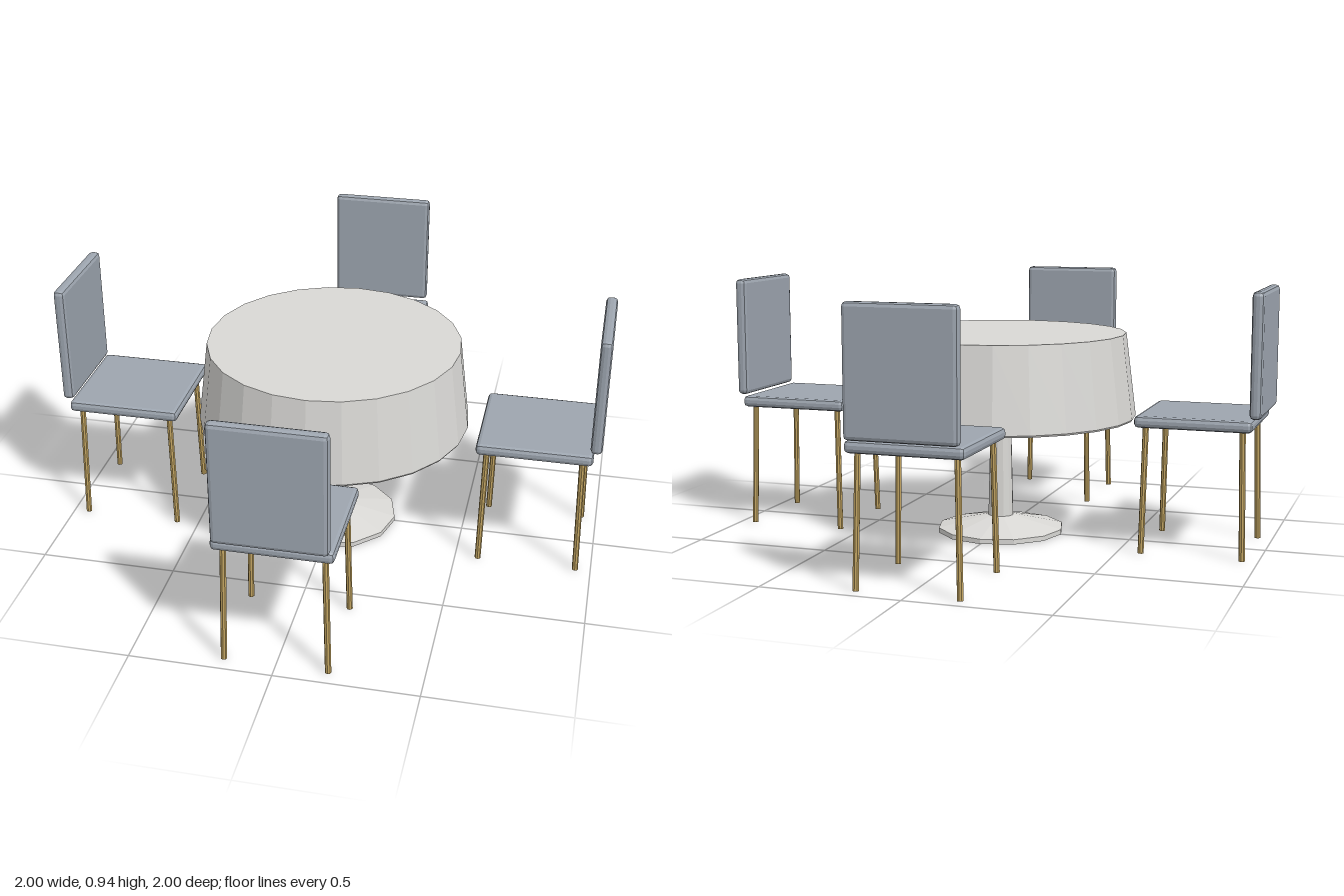
import * as THREE from 'three';
import { RoundedBoxGeometry } from 'three/addons/geometries/RoundedBoxGeometry.js';

const mat = (name, color) => {
  const m = new THREE.MeshStandardMaterial({ color, flatShading: true });
  m.name = name;
  return m;
};

function add(parent, name, geometry, material, x = 0, y = 0, z = 0) {
  const mesh = new THREE.Mesh(geometry, material);
  mesh.name = name;
  mesh.position.set(x, y, z);
  parent.add(mesh);
  return mesh;
}

// Closed turned shape from [radius, height] pairs
const turned = (profile, sides) =>
  new THREE.LatheGeometry(profile.map(([r, y]) => new THREE.Vector2(r, y)), sides);

// Thin splayed leg between two points
function leg(top, bottom) {
  return new THREE.TubeGeometry(new THREE.LineCurve3(bottom, top), 1, 0.011, 8);
}

export function createModel() {
  const model = new THREE.Group();
  model.name = 'diningSet';
  const cloth = mat('pale stone', 0xd9d8d5);
  const fabric = mat('blue grey fabric', 0x9da5af);
  const brass = mat('brass', 0xc3a562);

  // Round table: draped top, slim stem and low conical foot
  const table = new THREE.Group();
  table.name = 'table';
  model.add(table);
  add(table, 'tableTop', turned([[0, 0.44], [0.5, 0.44], [0.504, 0.447], [0.466, 0.755], [0, 0.755]], 24), cloth);
  add(table, 'stem', new THREE.CylinderGeometry(0.039, 0.048, 0.39, 12), cloth, 0, 0.25, 0);
  add(table, 'foot', turned([[0, 0], [0.238, 0], [0.238, 0.018], [0.045, 0.062], [0, 0.062]], 12), cloth);

  // Four chairs facing the table
  for (let i = 0; i < 4; i++) {
    const chair = new THREE.Group();
    chair.name = 'chair' + (i + 1);
    chair.rotation.y = (i * Math.PI) / 2;
    model.add(chair);
    add(chair, 'seat', new RoundedBoxGeometry(0.412, 0.042, 0.416, 1, 0.015), fabric, 0, 0.475, 0.764);
    add(chair, 'backrest', new RoundedBoxGeometry(0.39, 0.44, 0.042, 1, 0.015), fabric, 0, 0.72, 0.979);
    for (const sx of [-1, 1]) {
      for (const sz of [-1, 1]) {
        const top = new THREE.Vector3(sx * 0.17, 0.46, 0.764 + sz * 0.17);
        const bottom = new THREE.Vector3(sx * 0.18, 0, 0.764 + sz * 0.18);
        add(chair, 'leg', leg(top, bottom), brass);
        // Flat cap closing the bottom of the leg
        const cap = add(chair, 'legFoot', new THREE.CircleGeometry(0.011, 8), brass, bottom.x, 0, bottom.z);
        cap.rotation.x = Math.PI / 2;
      }
    }
  }
  return model;
}
